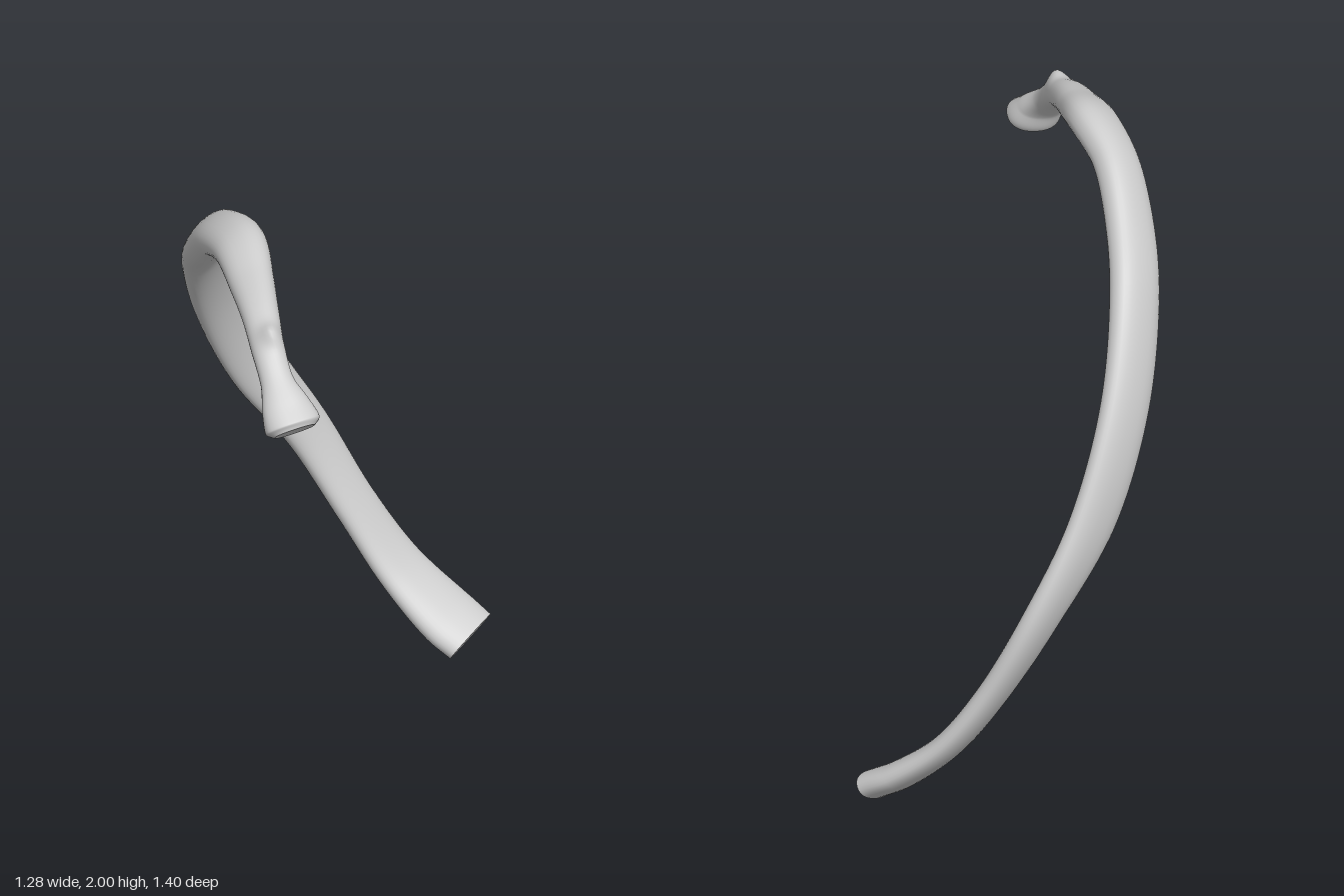
import * as THREE from 'three';

// Stations from head to open end: centre x, y, z, half thickness, half width, sideways twist
const STATIONS = [
  [0.612, 1.618, 0.622, 0.046, 0.066, 0],
  [0.598, 1.633, 0.620, 0.060, 0.088, 0],
  [0.560, 1.680, 0.618, 0.044, 0.076, 0],
  [0.500, 1.735, 0.606, 0.038, 0.052, 0],
  [0.420, 1.800, 0.580, 0.044, 0.052, 0],
  [0.320, 1.855, 0.535, 0.050, 0.058, 0],
  [0.200, 1.895, 0.480, 0.054, 0.070, 0],
  [0.050, 1.930, 0.415, 0.060, 0.084, 0],
  [-0.110, 1.880, 0.370, 0.058, 0.080, 0],
  [-0.270, 1.745, 0.295, 0.055, 0.088, 0],
  [-0.400, 1.600, 0.205, 0.052, 0.092, 0],
  [-0.530, 1.320, 0.060, 0.046, 0.093, 0],
  [-0.583, 1.000, -0.110, 0.042, 0.092, 0.05],
  [-0.555, 0.710, -0.290, 0.042, 0.080, 0.2],
  [-0.460, 0.440, -0.405, 0.040, 0.078, 0.35],
  [-0.350, 0.240, -0.490, 0.040, 0.090, 0.4],
  [-0.220, 0.105, -0.565, 0.045, 0.104, 0.35],
  [-0.140, 0.048, -0.605, 0.046, 0.100, 0.3],
];
const RINGS = 170;
const SIDES = 32;

// Slightly squared ellipse
const squared = (v) => Math.sign(v) * Math.abs(v) ** 0.88;

function sweepGeometry() {
  const path = new THREE.CatmullRomCurve3(STATIONS.map((s) => new THREE.Vector3(s[0], s[1], s[2])));
  const size = new THREE.CatmullRomCurve3(
    STATIONS.map((s) => new THREE.Vector3(s[3], s[4], s[5])), false, 'catmullrom', 0.5);
  const knob = new THREE.Vector3(0.425, 1.85, 0.565);
  const positions = [];
  const index = [];

  for (let i = 0; i <= RINGS; i++) {
    const u = i / RINGS;
    const centre = path.getPoint(u);
    const tangent = path.getTangent(u);
    const { x: thick, y: wide, z: twist } = size.getPoint(u);
    const across = new THREE.Vector3(twist, -0.45 + 0.3 * twist, 0.89);
    across.addScaledVector(tangent, -across.dot(tangent)).normalize();
    const outward = new THREE.Vector3().crossVectors(tangent, across);
    for (let j = 0; j < SIDES; j++) {
      const a = (j / SIDES) * Math.PI * 2;
      const p = centre.clone()
        .addScaledVector(across, squared(Math.cos(a)) * wide)
        .addScaledVector(outward, squared(Math.sin(a)) * thick);
      // Small tubercle raised on the outer side of the neck
      const d = p.distanceTo(knob) / 0.035;
      p.addScaledVector(outward, 0.03 * Math.exp(-d * d));
      positions.push(p.x, p.y, p.z);
    }
  }
  for (let i = 0; i < RINGS; i++) {
    for (let j = 0; j < SIDES; j++) {
      const k = (j + 1) % SIDES;
      const a = i * SIDES + j, b = i * SIDES + k;
      index.push(a, b, a + SIDES, b, b + SIDES, a + SIDES);
    }
  }

  // Flat caps with their own vertices so the rims stay sharp
  for (const ring of [0, RINGS]) {
    const start = positions.length / 3;
    const mid = path.getPoint(ring / RINGS);
    for (let j = 0; j < SIDES; j++) {
      const o = (ring * SIDES + j) * 3;
      positions.push(positions[o], positions[o + 1], positions[o + 2]);
    }
    positions.push(mid.x, mid.y, mid.z);
    for (let j = 0; j < SIDES; j++) {
      const a = start + j, b = start + ((j + 1) % SIDES), c = start + SIDES;
      if (ring === 0) index.push(c, b, a);
      else index.push(c, a, b);
    }
  }

  const geometry = new THREE.BufferGeometry();
  geometry.setAttribute('position', new THREE.Float32BufferAttribute(positions, 3));
  geometry.setIndex(index);
  geometry.computeVertexNormals();
  return geometry;
}

export function createModel() {
  const group = new THREE.Group();
  group.name = 'rib';
  const bone = new THREE.Mesh(sweepGeometry(), new THREE.MeshStandardMaterial({ color: 0xcccccc }));
  bone.name = 'ribBone';
  group.add(bone);
  return group;
}
